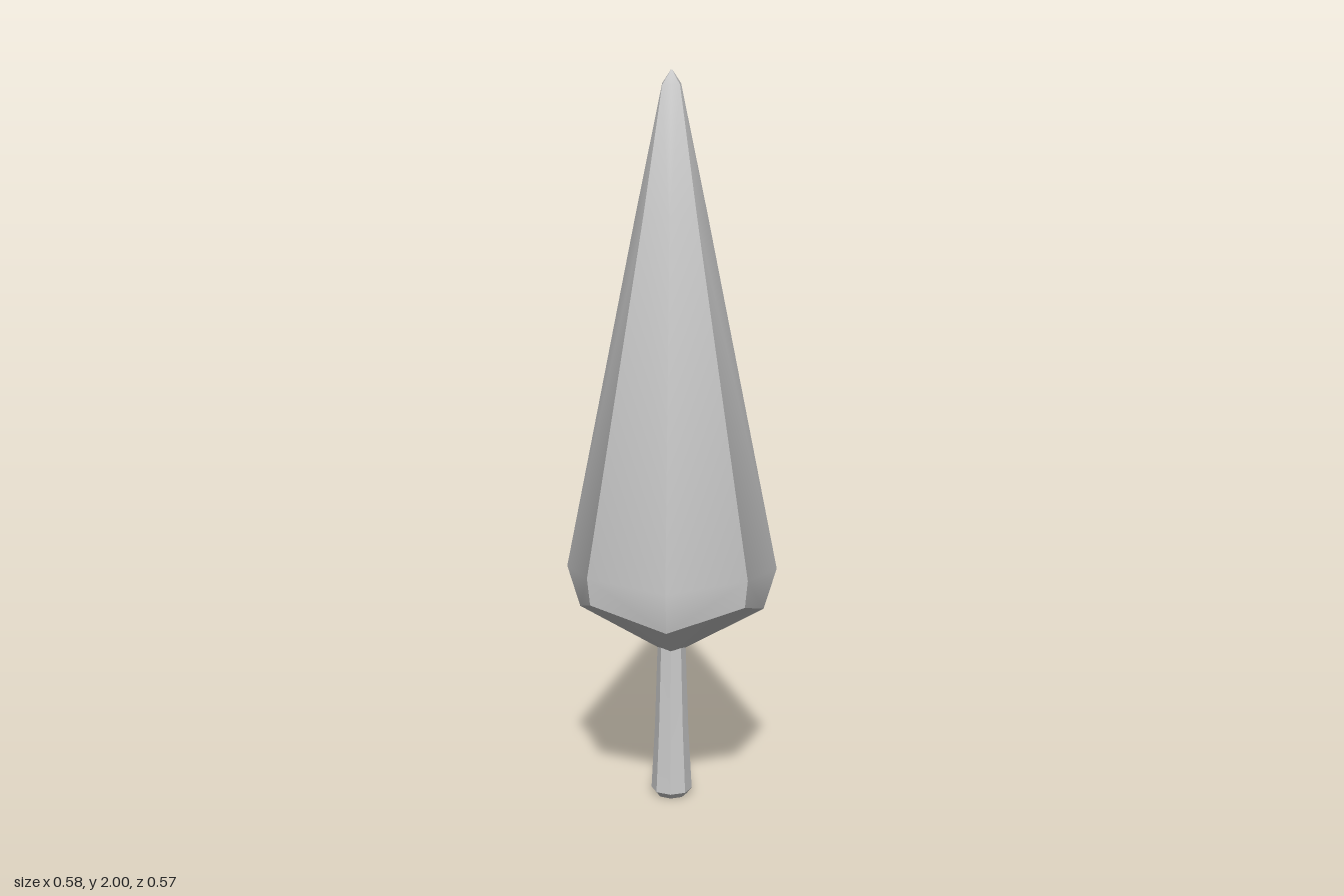
import * as THREE from 'three';
import { toCreasedNormals } from 'three/addons/utils/BufferGeometryUtils.js';

const SIDES = 8;

// Rings of eight points; even points sit on the axes, odd ones on the diagonals.
// Each ring: [axis height, axis radius, diagonal height, diagonal radius]
function loft(rings, crease) {
  const positions = [];
  const index = [];
  for (const [ya, ra, yd, rd] of rings) {
    for (let i = 0; i < SIDES; i++) {
      const a = (i / SIDES) * Math.PI * 2;
      const r = i % 2 ? rd : ra;
      positions.push(r * Math.sin(a), i % 2 ? yd : ya, r * Math.cos(a));
    }
  }
  for (let k = 0; k < rings.length - 1; k++) {
    for (let i = 0; i < SIDES; i++) {
      const j = (i + 1) % SIDES;
      const a = k * SIDES + i, b = k * SIDES + j;
      const c = b + SIDES, d = a + SIDES;
      // the diagonal of each quad mirrors from side to side
      if (i % 2) index.push(a, b, d, b, c, d);
      else index.push(a, b, c, a, c, d);
    }
  }
  // close both ends
  const top = (rings.length - 1) * SIDES;
  for (let i = 1; i < SIDES - 1; i++) {
    index.push(0, i + 1, i, top, top + i, top + i + 1);
  }
  const geometry = new THREE.BufferGeometry();
  geometry.setAttribute('position', new THREE.Float32BufferAttribute(positions, 3));
  geometry.setIndex(index);
  return toCreasedNormals(geometry, crease);
}

export function createModel() {
  const group = new THREE.Group();
  group.name = 'coniferTree';
  const material = new THREE.MeshStandardMaterial({ color: 0xcccccc });

  // Tall crown with a shallow pyramid underneath and a blunt tip
  const crown = new THREE.Mesh(loft([
    [0.43, 0.04, 0.43, 0.03],
    [0.545, 0.255, 0.605, 0.29],
    [0.66, 0.29, 0.68, 0.3],
    [1.62, 0.097, 1.62, 0.1],
    [1.965, 0.025, 1.96, 0.033],
    [2.0, 0.002, 2.0, 0.002],
  ], 0.54), material);
  crown.name = 'crown';
  crown.scale.z = 0.983;

  // Flared trunk with a bevelled foot
  const trunk = new THREE.Mesh(loft([
    [0, 0.043, 0, 0.043],
    [0.017, 0.057, 0.017, 0.057],
    [0.2, 0.047, 0.2, 0.047],
    [0.44, 0.039, 0.44, 0.039],
  ], 0.54), material);
  trunk.name = 'trunk';

  group.add(crown, trunk);
  return group;
}
